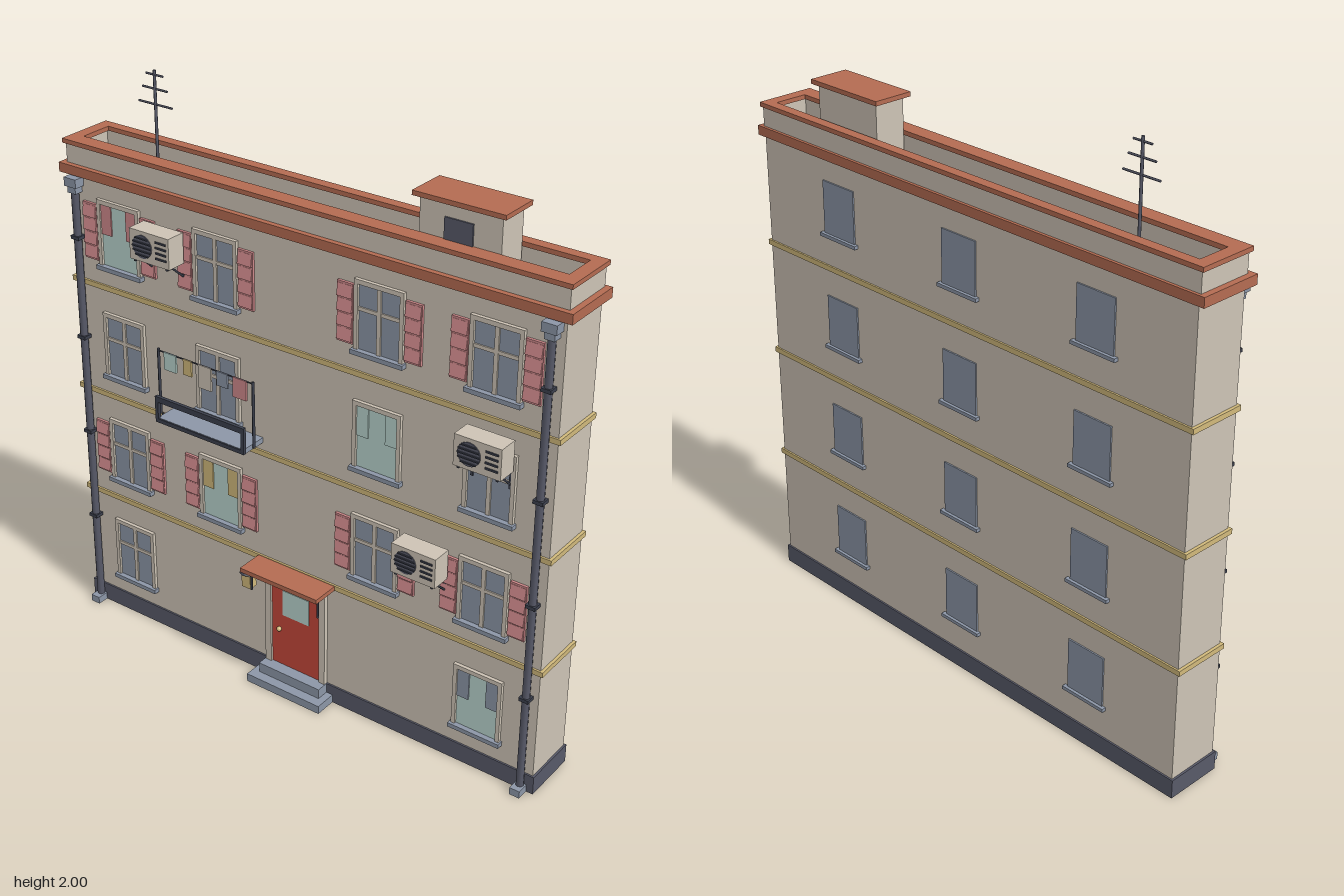
import * as THREE from 'three';

const mat = (name, color) => {
  const m = new THREE.MeshStandardMaterial({ color });
  m.name = name;
  return m;
};
const M = {
  wall: mat('plaster beige', 0xcec4b6),
  roof: mat('terracotta', 0xb56c52),
  plinth: mat('slate', 0x585a69),
  steel: mat('blue grey', 0x8d97a8),
  dark: mat('dark iron', 0x3c404d),
  mint: mat('pale mint', 0xb9d5cf),
  pink: mat('shutter pink', 0xd08a8c),
  gold: mat('ochre', 0xd2ba7c),
  red: mat('door red', 0xc4473a),
};

const FRONT = 0.05, BACK = -0.14;

function group(name, parent, x = 0, y = 0, z = 0) {
  const g = new THREE.Group();
  g.name = name;
  g.position.set(x, y, z);
  parent.add(g);
  return g;
}
// Box given by its limits along each axis
function box(parent, name, m, x0, x1, y0, y1, z0, z1) {
  const mesh = new THREE.Mesh(new THREE.BoxGeometry(x1 - x0, y1 - y0, z1 - z0), m);
  mesh.position.set((x0 + x1) / 2, (y0 + y1) / 2, (z0 + z1) / 2);
  mesh.name = name;
  parent.add(mesh);
  return mesh;
}
// Cylinder between two points
function rod(parent, name, m, a, b, r, sides = 8) {
  const p = new THREE.Vector3(...a), q = new THREE.Vector3(...b);
  const mesh = new THREE.Mesh(new THREE.CylinderGeometry(r, r, p.distanceTo(q), sides), m);
  mesh.position.copy(p).add(q).multiplyScalar(0.5);
  mesh.quaternion.setFromUnitVectors(new THREE.Vector3(0, 1, 0), q.sub(p).normalize());
  mesh.name = name;
  parent.add(mesh);
  return mesh;
}
// Hollow rectangular wall
function ring(parent, name, m, x, z0, z1, ix, iz0, iz1, y0, y1) {
  const g = group(name, parent);
  box(g, name + 'Front', m, -x, x, y0, y1, iz1, z1);
  box(g, name + 'Back', m, -x, x, y0, y1, z0, iz0);
  box(g, name + 'Right', m, -x, -ix, y0, y1, iz0, iz1);
  box(g, name + 'Left', m, ix, x, y0, y1, iz0, iz1);
}

// Front window; a curtain material makes it a lit window
function frontWindow(parent, x, y, curtain, shutters) {
  const g = group('frontWindow', parent, x, y, FRONT);
  box(g, 'glass', curtain ? M.mint : M.steel, -0.078, 0.078, 0, 0.215, -0.001, 0.004);
  for (const s of [-1, 1]) {
    box(g, 'jamb', M.wall, s * 0.081 - 0.007, s * 0.081 + 0.007, 0, 0.228, 0, 0.012);
    if (curtain) box(g, 'curtain', curtain, s * 0.052 - 0.021, s * 0.052 + 0.021, 0.11, 0.212, 0.004, 0.008);
  }
  box(g, 'lintel', M.wall, -0.074, 0.074, 0.213, 0.228, 0, 0.012);
  if (!curtain) {
    box(g, 'mullion', M.wall, -0.007, 0.007, 0, 0.213, 0, 0.009);
    box(g, 'transom', M.wall, -0.074, 0.074, 0.128, 0.14, 0, 0.0085);
  }
  box(g, 'sill', M.steel, -0.094, 0.094, -0.014, 0.001, 0, 0.022);
  if (!shutters) return;
  for (const s of [-1, 1]) {
    const sh = group('shutter', g, s * 0.121, 0, 0);
    box(sh, 'shutterPanel', M.pink, -0.029, 0.029, 0.01, 0.206, 0, 0.009);
    for (let i = 0; i < 4; i++) {
      const slat = box(sh, 'slat', M.pink, -0.027, 0.027, 0.018 + i * 0.047, 0.058 + i * 0.047, 0.007, 0.013);
      slat.rotation.x = -0.15;
    }
  }
}

function airConditioner(parent, x, y) {
  const g = group('airConditioner', parent, x, y, 0);
  box(g, 'casing', M.wall, -0.08, 0.08, 0, 0.103, 0.072, 0.142);
  const fan = rod(g, 'fan', M.plinth, [-0.027, 0.052, 0.141], [-0.027, 0.052, 0.145], 0.039, 20);
  fan.name = 'fanDisc';
  for (let i = -2; i <= 2; i++) {
    const w = Math.sqrt(0.038 ** 2 - (i * 0.014) ** 2);
    box(g, 'fanGuard', M.dark, -0.027 - w, -0.027 + w, 0.05 + i * 0.014, 0.054 + i * 0.014, 0.143, 0.149);
  }
  for (let i = 0; i < 4; i++)
    box(g, 'vent', M.dark, 0.028, 0.07, 0.024 + i * 0.018, 0.03 + i * 0.018, 0.141, 0.146);
  // Wall brackets
  for (const s of [-0.065, 0.065]) {
    box(g, 'bracketLeg', M.dark, s - 0.004, s + 0.004, -0.07, 0.02, FRONT, 0.06);
    box(g, 'bracketArm', M.dark, s - 0.004, s + 0.004, -0.008, 0, FRONT, 0.138);
    rod(g, 'bracketBrace', M.dark, [s, -0.055, 0.057], [s, -0.004, 0.115], 0.0035, 6);
  }
}

function buildShell(root) {
  const g = group('building', root);
  box(g, 'walls', M.wall, -0.915, 0.915, 0.06, 1.635, BACK, FRONT);
  box(g, 'plinth', M.plinth, -0.922, 0.922, 0, 0.066, BACK - 0.006, FRONT + 0.006);
  for (const y of [0.46, 0.86, 1.26])
    box(g, 'stringCourse', M.gold, -0.925, 0.925, y - 0.009, y + 0.009, BACK - 0.006, FRONT + 0.007);
  box(g, 'cornice', M.roof, -0.94, 0.94, 1.633, 1.665, -0.15, 0.07);
  ring(g, 'parapet', M.wall, 0.92, -0.14, 0.052, 0.895, -0.115, 0.015, 1.665, 1.732);
  ring(g, 'coping', M.roof, 0.928, -0.146, 0.06, 0.885, -0.11, 0.005, 1.73, 1.745);

  // Roof hut
  const hut = group('roofHut', root);
  box(hut, 'hutWalls', M.wall, 0.4, 0.672, 1.66, 1.856, -0.105, 0.004);
  box(hut, 'hutRoof', M.roof, 0.382, 0.69, 1.855, 1.87, -0.12, 0.02);
  box(hut, 'hutDoor', M.plinth, 0.485, 0.58, 1.665, 1.812, 0, 0.009);

  // Aerial
  const aerial = group('aerial', root, -0.622, 0, -0.05);
  rod(aerial, 'mast', M.plinth, [0, 1.66, 0], [0, 2, 0], 0.005);
  for (const [y, w] of [[1.89, 0.068], [1.94, 0.05], [1.985, 0.034]])
    rod(aerial, 'aerialBar', M.plinth, [-w, y, 0], [w, y, 0], 0.0035, 6);

  // Downpipes
  for (const x of [-0.88, 0.88]) {
    const p = group('downpipe', root, x, 0, 0);
    rod(p, 'pipe', M.plinth, [0, 0.02, 0.066], [0, 1.6, 0.066], 0.013);
    box(p, 'hopper', M.steel, -0.025, 0.025, 1.598, 1.628, FRONT, 0.088);
    box(p, 'hopperNeck', M.steel, -0.017, 0.017, 1.575, 1.598, FRONT, 0.082);
    box(p, 'pipeShoe', M.steel, -0.018, 0.018, 0, 0.026, FRONT, 0.098);
    for (const y of [0.36, 0.7, 1.06, 1.42])
      box(p, 'pipeClip', M.dark, -0.017, 0.017, y - 0.006, y + 0.006, FRONT, 0.082);
  }
}

function buildEntrance(root) {
  const g = group('entrance', root);
  box(g, 'lowerStep', M.steel, -0.15, 0.15, 0, 0.03, FRONT, 0.135);
  box(g, 'upperStep', M.steel, -0.125, 0.125, 0.03, 0.066, FRONT, 0.1);
  box(g, 'door', M.red, -0.1, 0.1, 0.066, 0.412, FRONT, 0.058);
  box(g, 'doorGlass', M.mint, -0.053, 0.053, 0.27, 0.368, 0.057, 0.061);
  const knob = new THREE.Mesh(new THREE.SphereGeometry(0.009, 10, 8), M.gold);
  knob.name = 'doorKnob';
  knob.position.set(-0.067, 0.21, 0.064);
  g.add(knob);
  for (const s of [-1, 1]) {
    box(g, 'doorJamb', M.wall, s * 0.111 - 0.012, s * 0.111 + 0.012, 0.066, 0.43, FRONT, 0.066);
    rod(g, 'canopyStay', M.dark, [s * 0.135, 0.372, 0.12], [s * 0.135, 0.452, 0.12], 0.004, 6);
  }
  box(g, 'doorLintel', M.wall, -0.123, 0.123, 0.41, 0.432, FRONT, 0.066);
  box(g, 'canopySoffit', M.wall, -0.143, 0.143, 0.444, 0.452, FRONT, 0.145);
  box(g, 'canopy', M.roof, -0.155, 0.155, 0.451, 0.467, FRONT, 0.155);

  // Wall lamp
  const lamp = group('wallLamp', g, -0.175, 0, 0.085);
  box(lamp, 'lantern', M.gold, -0.018, 0.018, 0.352, 0.408, -0.016, 0.016);
  const cap = new THREE.Mesh(new THREE.ConeGeometry(0.032, 0.028, 8), M.dark);
  cap.name = 'lampCap';
  cap.position.y = 0.421;
  lamp.add(cap);
  rod(lamp, 'lampArm', M.dark, [0, 0.422, -0.036], [0, 0.422, 0], 0.004, 6);
}

function buildBalcony(root) {
  const g = group('balcony', root);
  box(g, 'balconySlab', M.steel, -0.49, -0.135, 0.897, 0.915, FRONT, 0.15);
  box(g, 'topRail', M.dark, -0.495, -0.13, 0.974, 0.994, 0.143, 0.155);
  box(g, 'bottomRail', M.dark, -0.495, -0.13, 0.9, 0.914, 0.148, 0.155);
  for (const x of [-0.489, -0.136])
    box(g, 'railPost', M.dark, x - 0.006, x + 0.006, 0.9, 0.98, 0.143, 0.155);
  // Clothes line with washing
  for (const x of [-0.508, -0.122]) {
    rod(g, 'linePost', M.dark, [x, 0.91, 0.113], [x, 1.145, 0.113], 0.005, 6);
    box(g, 'linePostFoot', M.dark, Math.min(x, -0.315) - 0.004, x + 0.02, 0.9, 0.912, 0.108, 0.118).scale.x = 0.1;
  }
  rod(g, 'clothesLine', M.dark, [-0.508, 1.138, 0.113], [-0.122, 1.138, 0.113], 0.0025, 6);
  for (const [x, w, h, m] of [[-0.458, 0.05, 0.06, M.mint], [-0.386, 0.034, 0.053, M.gold],
    [-0.315, 0.052, 0.08, M.wall], [-0.244, 0.044, 0.048, M.steel], [-0.174, 0.054, 0.068, M.pink]])
    box(g, 'washing', m, x - w / 2, x + w / 2, 1.138 - h, 1.14, 0.11, 0.117);
}

export function createModel() {
  const root = new THREE.Group();
  root.name = 'apartmentBuilding';
  buildShell(root);
  buildEntrance(root);
  buildBalcony(root);

  // Front windows by storey; lit ones are keyed by storey and column
  const columns = [-0.706, -0.31, 0.306, 0.704];
  const lit = { '0,3': M.steel, '1,1': M.gold, '2,2': M.mint, '3,0': M.pink };
  for (let row = 0; row < 4; row++)
    columns.forEach((x, c) => {
      if (row === 0 && (c === 1 || c === 2)) return;
      frontWindow(root, x, 0.143 + row * 0.4, lit[row + ',' + c], row % 2 === 1);
    });

  // Back windows
  for (let row = 0; row < 4; row++)
    for (const x of [-0.555, 0, 0.552]) {
      const g = group('backWindow', root, x, 0.182 + row * 0.4, BACK);
      box(g, 'backGlass', M.steel, -0.073, 0.073, 0, 0.178, -0.005, 0.001);
      box(g, 'backSill', M.steel, -0.085, 0.085, -0.012, 0, -0.015, 0.001);
    }

  for (const [x, y] of [[-0.503, 1.45], [0.71, 1.128], [0.506, 0.68]]) airConditioner(root, x, y);
  return root;
}
